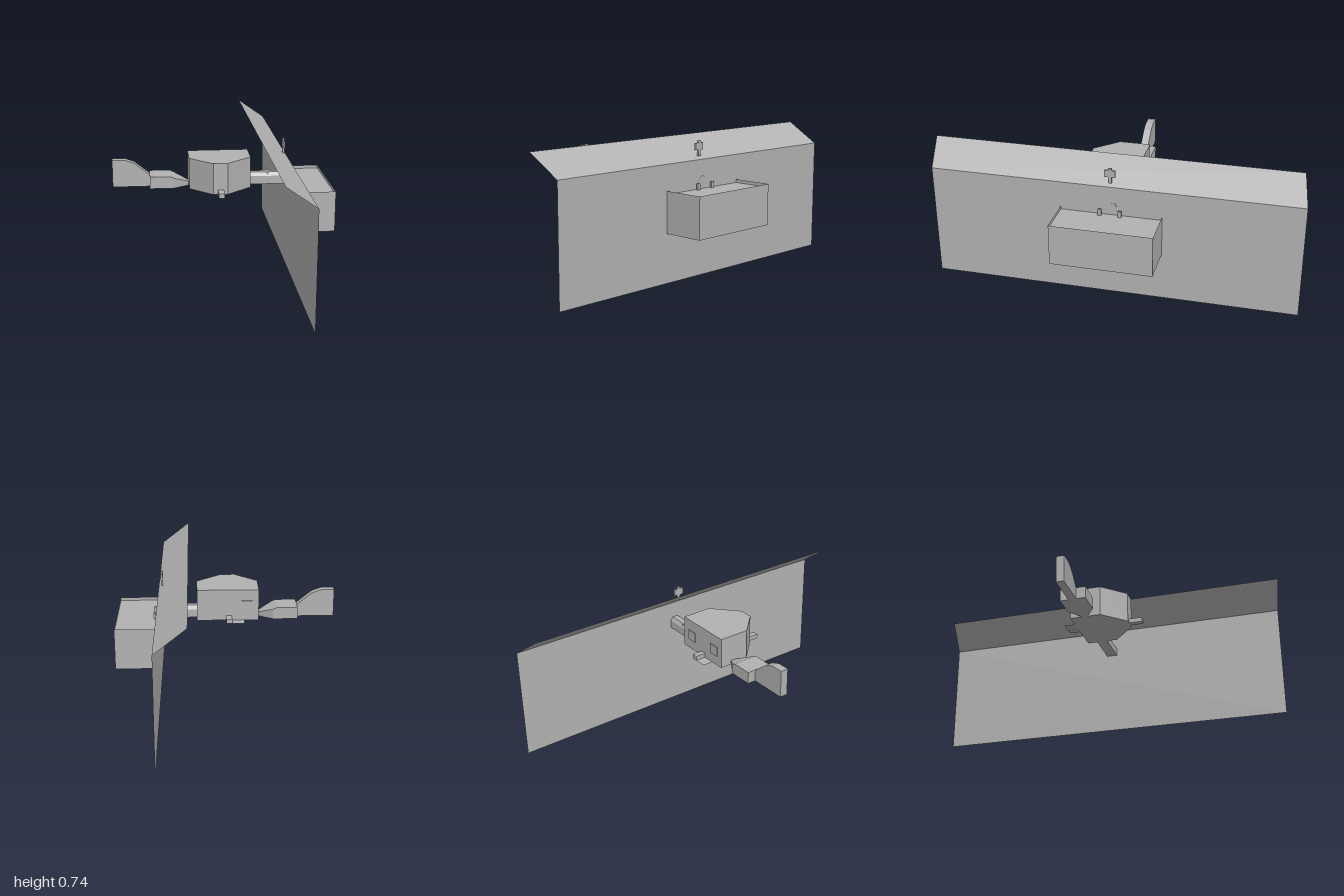
import * as THREE from 'three';

export function createModel() {
  const root = new THREE.Group();
  const grey = new THREE.MeshStandardMaterial({ color: 0xb2b2b2, side: THREE.DoubleSide });
  grey.name = 'plainGrey';
  const midZ = -0.012;

  const add = (name, geo) => {
    const mesh = new THREE.Mesh(geo, grey);
    mesh.name = name;
    root.add(mesh);
    return mesh;
  };
  // Box given by its minimum and maximum corners
  const box = (name, x0, x1, y0, y1, z0, z1) => {
    const g = new THREE.BoxGeometry(x1 - x0, y1 - y0, z1 - z0);
    g.translate((x0 + x1) / 2, (y0 + y1) / 2, (z0 + z1) / 2);
    return add(name, g);
  };
  const extrude = (points, depth) => new THREE.ExtrudeGeometry(
    new THREE.Shape(points.map(p => new THREE.Vector2(...p))), { depth, bevelEnabled: false });
  // Flat four-cornered sheet, corners in order round the edge
  const sheet = (name, ...c) => {
    const g = new THREE.BufferGeometry();
    g.setAttribute('position', new THREE.Float32BufferAttribute(
      [0, 1, 2, 0, 2, 3].flatMap(i => c[i]), 3));
    g.computeVertexNormals();
    return add(name, g);
  };

  // Long upright panel with a sloping sheet along its top
  sheet('wallPanel', [0.36, 0, 0.97], [0.36, 0, -1], [0.36, 0.62, -1], [0.36, 0.62, 0.97]);
  sheet('slopingRoof', [0.36, 0.62, 0.97], [0.36, 0.62, -1], [0.2, 0.737, -0.97], [0.2, 0.737, 1]);

  // Open-bottomed basin with a slightly sunken top
  const [bx0, bx1, by0, by1, bz0, bz1] = [0.364, 0.587, 0.263, 0.484, -0.278, 0.26];
  sheet('basinOuterSide', [bx1, by0, bz1], [bx1, by0, bz0], [bx1, by1, bz0], [bx1, by1, bz1]);
  sheet('basinFrontEnd', [bx0, by0, bz1], [bx1, by0, bz1], [bx1, by1, bz1], [bx0, by1, bz1]);
  sheet('basinBackEnd', [bx1, by0, bz0], [bx0, by0, bz0], [bx0, by1, bz0], [bx1, by1, bz0]);
  sheet('basinInnerSide', [bx0, by0, bz0], [bx0, by0, bz1], [bx0, by1, bz1], [bx0, by1, bz0]);
  const top = by1 - 0.018;
  sheet('basinTop', [bx0, top, bz1], [bx1, top, bz1], [bx1, top, bz0], [bx0, top, bz0]);

  // Arched plate and two small handles behind the basin
  const arch = new THREE.CircleGeometry(0.034, 16, 0, Math.PI);
  arch.scale(1, 1.5, 1);
  arch.rotateY(Math.PI / 2);
  arch.translate(0.366, by1, -0.003);
  add('archedPlate', arch);
  for (const s of [-1, 1]) {
    const z = -0.007 + s * 0.053;
    box('handle', 0.377, 0.388, top, 0.5, z - 0.009, z + 0.009);
  }

  // Small lamp standing on the slope
  box('lampStem', 0.336, 0.347, 0.636, 0.67, -0.008, 0.008);
  box('lampBody', 0.336, 0.347, 0.669, 0.706, -0.027, 0.029);
  box('lampCap', 0.336, 0.347, 0.705, 0.717, -0.009, 0.009);

  // Six-sided central block, drawn in plan and raised
  const block = extrude([[-0.178, 0.094], [0.154, 0.094], [0.154, -0.075],
    [0.02, -0.197], [-0.058, -0.197], [-0.178, -0.075]].reverse(), 0.17);
  block.rotateX(-Math.PI / 2);
  block.translate(0, 0.465, 0);
  add('centralBlock', block);
  box('frontStep', -0.034, -0.002, 0.465, 0.49, 0.195, 0.27);
  box('backStep', -0.034, -0.002, 0.465, 0.49, -0.152, -0.094);
  sheet('backLedge', [-0.1, 0.466, -0.094], [-0.034, 0.466, -0.094],
    [-0.034, 0.466, -0.152], [-0.1, 0.466, -0.152]);
  for (const x of [-0.145, 0.05]) box('backWindow', x, x + 0.06, 0.52, 0.575, -0.099, -0.094);

  // Tail fin with a rounded-off upper edge
  const fin = extrude([[-0.59, 0.465], [-0.389, 0.465], [-0.389, 0.53],
    [-0.47, 0.595], [-0.495, 0.605], [-0.524, 0.614], [-0.59, 0.614]], 0.043);
  fin.translate(0, 0, -0.036);
  add('tailFin', fin);

  // Tapering link: rectangular sections [x, half width, top]
  const sections = [[-0.389, 0.07, 0.53], [-0.279, 0.07, 0.53], [-0.257, 0.07, 0.52], [-0.178, 0.016, 0.488]];
  const ring = ([x, w, t]) => [[x, 0.465, midZ + w], [x, t, midZ + w], [x, t, midZ - w], [x, 0.465, midZ - w]];
  const verts = [];
  const quad = (a, b, c, d) => verts.push(...a, ...b, ...c, ...a, ...c, ...d);
  for (let i = 0; i < sections.length - 1; i++) {
    const a = ring(sections[i]), b = ring(sections[i + 1]);
    for (let j = 0; j < 4; j++) quad(a[j], b[j], b[(j + 1) % 4], a[(j + 1) % 4]);
  }
  quad(...ring(sections[0]));
  quad(...ring(sections[3]).reverse());
  const link = new THREE.BufferGeometry();
  link.setAttribute('position', new THREE.Float32BufferAttribute(verts, 3));
  link.computeVertexNormals();
  add('taperedLink', link);

  // Passage with bevelled top edges, joining the block to the panel
  const passage = extrude([[-0.029, 0.465], [0.029, 0.465], [0.029, 0.51],
    [0.017, 0.53], [-0.017, 0.53], [-0.029, 0.51]], 0.209);
  passage.rotateY(Math.PI / 2);
  passage.translate(0.154, 0, midZ);
  add('passage', passage);
  for (const s of [-1, 1]) {
    const z = midZ + s * 0.02;
    box('passageStud', 0.251, 0.263, 0.517, 0.53, z - 0.005, z + 0.005);
  }
  return root;
}
